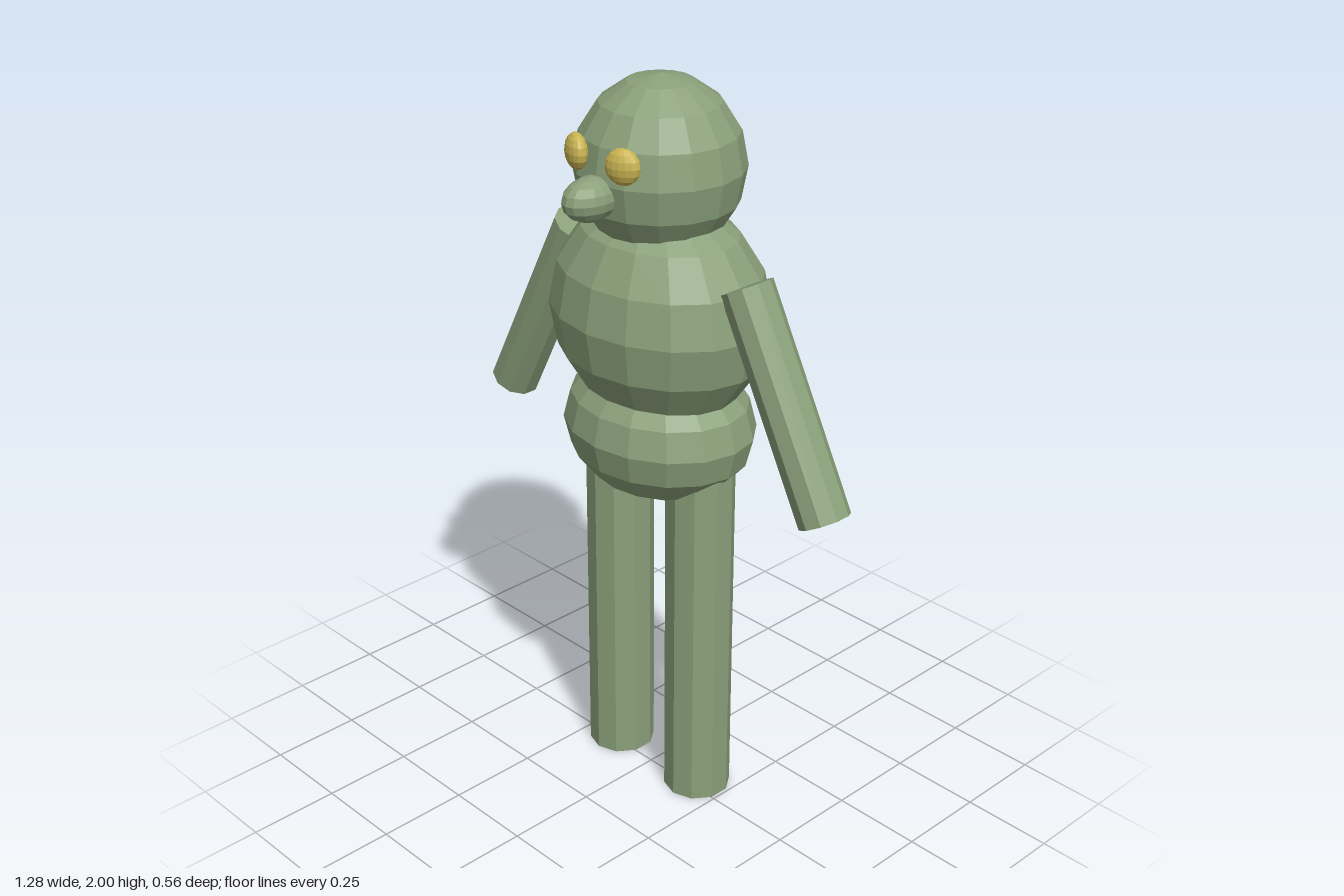
import * as THREE from 'three';

export function createModel() {
  const model = new THREE.Group();
  model.name = 'figure';
  const green = new THREE.MeshStandardMaterial({ color: 0x8aa07a, flatShading: true });
  green.name = 'sage green';
  const yellow = new THREE.MeshStandardMaterial({ color: 0xc9b452, flatShading: true });
  yellow.name = 'eye yellow';
  const Z = -0.03; // depth of the body axis

  // Faceted ellipsoid from centre and radii
  function ball(name, material, center, radii, turn = 0, sides = 16, rings = 8) {
    const mesh = new THREE.Mesh(new THREE.SphereGeometry(1, sides, rings), material);
    mesh.name = name;
    mesh.scale.set(...radii);
    mesh.position.set(...center);
    mesh.rotation.y = turn;
    model.add(mesh);
  }

  // Straight faceted limb between two points
  function limb(name, radius, top, bottom) {
    const a = new THREE.Vector3(...top);
    const b = new THREE.Vector3(...bottom);
    const mesh = new THREE.Mesh(new THREE.CylinderGeometry(radius, radius, a.distanceTo(b), 10), green);
    mesh.name = name;
    mesh.position.copy(a).add(b).multiplyScalar(0.5);
    mesh.quaternion.setFromUnitVectors(new THREE.Vector3(0, 1, 0), a.sub(b).normalize());
    model.add(mesh);
  }

  // Body
  ball('hips', green, [0, 1.07, Z], [0.275, 0.202, 0.23]);
  ball('torso', green, [0, 1.39, Z], [0.317, 0.3, 0.253]);
  ball('head', green, [0, 1.77, Z], [0.218, 0.23, 0.217]);
  ball('nose', green, [0, 1.737, 0.2], [0.056, 0.056, 0.082]);

  // Mirrored eyes, arms and legs
  for (const [side, s] of [['left', 1], ['right', -1]]) {
    ball(side + 'Eye', yellow, [s * 0.082, 1.83, 0.171], [0.046, 0.046, 0.027], s * 0.39);
    limb(side + 'Arm', 0.068, [s * 0.302, 1.535, Z], [s * 0.582, 1.0, Z]);
    limb(side + 'Leg', 0.092, [s * 0.153, 1.04, Z], [s * 0.153, 0, Z]);
  }
  return model;
}
